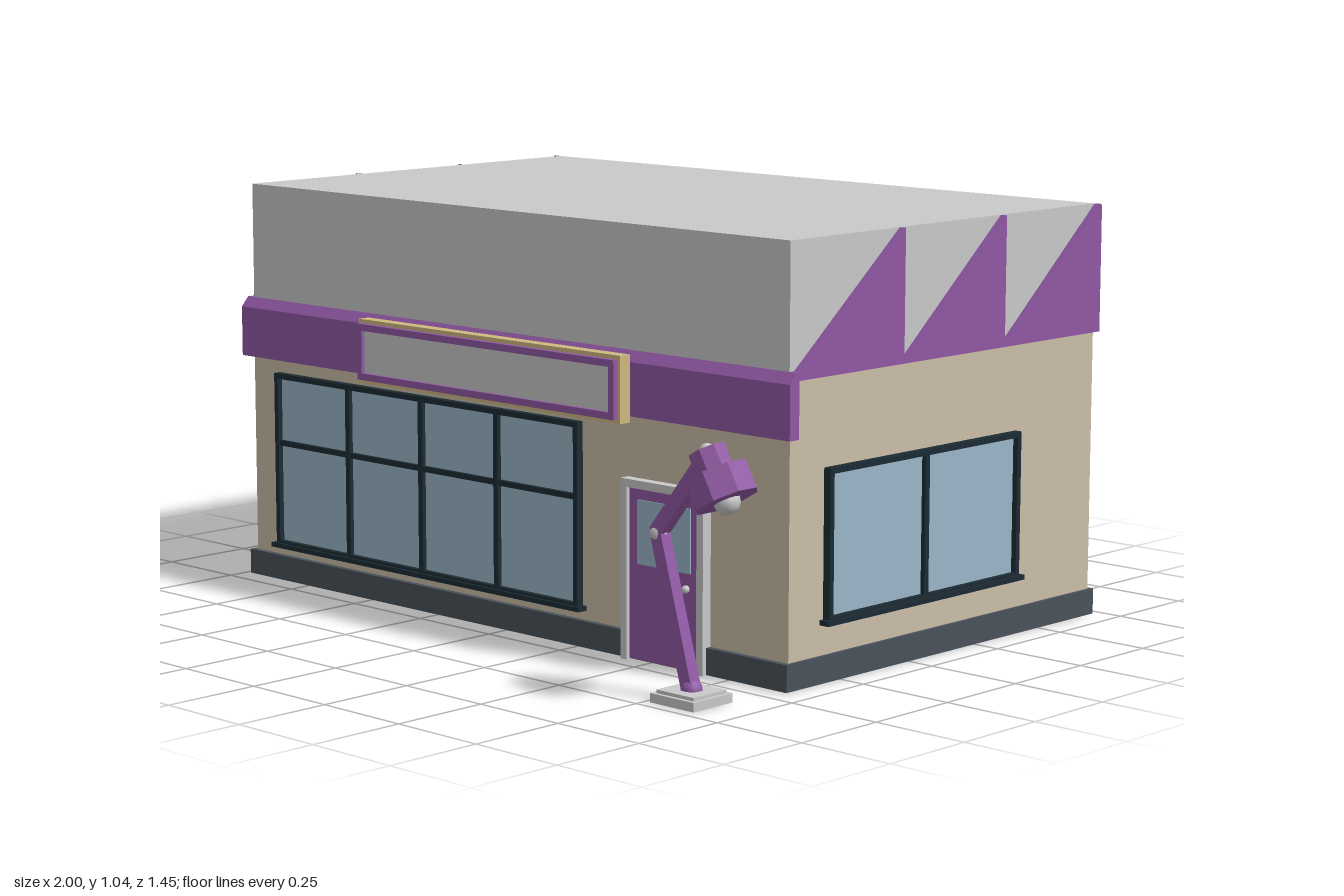
import * as THREE from 'three';

const mat = (name, color, extra = {}) => {
  const m = new THREE.MeshStandardMaterial({ color, ...extra });
  m.name = name;
  return m;
};

export function createModel() {
  const root = new THREE.Group();
  root.name = 'shop';
  const grey = mat('lightGrey', 0xc9c9c9);
  const purple = mat('purple', 0x9058a4);
  const tan = mat('tan', 0xcbbea8);
  const glass = mat('glass', 0x9bb6c9);
  const dark = mat('darkFrame', 0x1c2b33);
  const plinth = mat('slate', 0x4a525a);
  const gold = mat('gold', 0xcfb87f);

  // Box given by its minimum and maximum corners
  const box = (name, m, x0, x1, y0, y1, z0, z1, parent = root) => {
    const mesh = new THREE.Mesh(new THREE.BoxGeometry(x1 - x0, y1 - y0, z1 - z0), m);
    mesh.position.set((x0 + x1) / 2, (y0 + y1) / 2, (z0 + z1) / 2);
    mesh.name = name;
    parent.add(mesh);
    return mesh;
  };
  const group = (name) => {
    const g = new THREE.Group();
    g.name = name;
    root.add(g);
    return g;
  };
  // Rectangular frame of four bars
  const frame = (name, m, x0, x1, y0, y1, z0, z1, t, parent) => {
    box(name + 'Bottom', m, x0, x1, y0, y0 + t, z0, z1, parent);
    box(name + 'Top', m, x0, x1, y1 - t, y1, z0, z1, parent);
    box(name + 'SideA', m, x0, x0 + t, y0 + t, y1 - t, z0, z1, parent);
    box(name + 'SideB', m, x1 - t, x1, y0 + t, y1 - t, z0, z1, parent);
  };
  // Extrudes an outline of (z, y) points along x
  const alongX = (name, m, points, x0, x1) => {
    const shape = new THREE.Shape(points.map(([z, y]) => new THREE.Vector2(-z, y)));
    const geo = new THREE.ExtrudeGeometry(shape, { depth: x1 - x0, bevelEnabled: false });
    geo.rotateY(Math.PI / 2);
    geo.translate(x0, 0, 0);
    const mesh = new THREE.Mesh(geo, m);
    mesh.name = name;
    root.add(mesh);
  };

  // Building shell
  box('floor', grey, -0.975, 0.93, 0, 0.004, -0.715, 0.44);
  box('plinth', plinth, -0.98, 0.935, 0.002, 0.067, -0.72, 0.445);
  box('walls', tan, -0.967, 0.926, 0.067, 0.725, -0.708, 0.43);
  box('roofBlock', grey, -0.965, 0.924, 0.725, 1.045, -0.705, 0.43);

  // Front fascia with sloped top lip
  alongX('fascia', purple, [[0.42, 0.59], [0.452, 0.59], [0.452, 0.72], [0.43, 0.745], [0.42, 0.745]], -0.99, 0.945);

  // Sawtooth side panels
  const peaks = [0.047, -0.332, -0.707];
  for (const [x0, x1] of [[-0.988, -0.965], [0.924, 0.943]]) {
    let start = 0.44;
    for (const z of peaks) {
      alongX('sawtooth', purple, [[start, 0.725], [z, 0.725], [z, 1.045]], x0, x1);
      start = z;
    }
  }

  // Clerestory band across the back
  const back = group('clerestory');
  box('band', purple, -0.988, 0.943, 0.725, 1.043, -0.712, -0.704, back);
  box('clerestoryGlass', glass, -0.95, 0.91, 0.755, 1.0, -0.719, -0.712, back);
  for (const x of [-0.935, -0.48, -0.022, 0.435, 0.89]) {
    box('clerestoryPost', grey, x - 0.009, x + 0.009, 0.74, 1.01, -0.727, -0.711, back);
  }

  // Framed window facing +z, built on the plane z = 0
  const makeWindow = (name, x0, x1, y0, y1, posts, rail) => {
    const g = group(name);
    box('glass', glass, x0 + 0.01, x1 - 0.01, y0 + 0.01, y1 - 0.01, 0, 0.006, g);
    frame('frame', dark, x0, x1, y0, y1, 0, 0.02, 0.014, g);
    for (const x of posts) box('mullion', dark, x - 0.008, x + 0.008, y0, y1, 0, 0.017, g);
    if (rail) box('rail', dark, x0, x1, rail - 0.007, rail + 0.007, 0, 0.016, g);
    box('sill', dark, x0 - 0.012, x1 + 0.012, y0 - 0.005, y0 + 0.007, 0, 0.028, g);
    return g;
  };
  makeWindow('frontWindow', -0.865, 0.26, 0.095, 0.555, [-0.58, -0.303, -0.028], 0.37).position.z = 0.43;
  for (const s of [1, -1]) {
    const w = makeWindow(s > 0 ? 'leftWindow' : 'rightWindow', -0.355, 0.355, 0.145, 0.51, [0]);
    w.rotation.y = s * Math.PI / 2;
    w.position.set(s > 0 ? 0.926 : -0.967, 0, -0.045);
  }

  // Sign board
  const sign = group('sign');
  box('signBack', gold, -0.487, 0.44, 0.575, 0.738, 0.452, 0.485, sign);
  box('signPanel', grey, -0.47, 0.425, 0.592, 0.718, 0.485, 0.49, sign);
  frame('signFrame', purple, -0.478, 0.432, 0.585, 0.728, 0.485, 0.5, 0.017, sign);

  // Door
  const door = group('door');
  box('jambRight', grey, 0.413, 0.434, 0, 0.44, 0.43, 0.457, door);
  box('jambLeft', grey, 0.661, 0.682, 0, 0.44, 0.43, 0.457, door);
  box('lintel', grey, 0.434, 0.661, 0.42, 0.44, 0.43, 0.457, door);
  box('doorLeaf', purple, 0.434, 0.661, 0.004, 0.42, 0.43, 0.448, door);
  box('doorGlass', glass, 0.463, 0.635, 0.237, 0.393, 0.446, 0.451, door);

  const ball = (name, m, r, x, y, z, parent) => {
    const mesh = new THREE.Mesh(new THREE.SphereGeometry(r, 12, 8), m);
    mesh.position.set(x, y, z);
    mesh.name = name;
    parent.add(mesh);
  };
  ball('doorKnob', grey, 0.01, 0.625, 0.2, 0.455, door);

  // Oversized desk lamp beside the door
  const lamp = group('lamp');
  const LZ = 0.655;
  box('lampBase', grey, 0.765, 0.9, 0, 0.022, LZ - 0.065, LZ + 0.065, lamp);
  box('lampBaseTop', grey, 0.775, 0.89, 0.022, 0.03, LZ - 0.055, LZ + 0.055, lamp);
  const arm = (name, ax, ay, bx, by, w, d) => {
    const mesh = new THREE.Mesh(new THREE.BoxGeometry(w, Math.hypot(bx - ax, by - ay), d), purple);
    mesh.position.set((ax + bx) / 2, (ay + by) / 2, LZ);
    mesh.rotation.z = Math.atan2(ax - bx, by - ay);
    mesh.name = name;
    lamp.add(mesh);
  };
  arm('lowerArm', 0.833, 0.025, 0.733, 0.38, 0.034, 0.032);
  arm('upperArm', 0.728, 0.38, 0.875, 0.565, 0.034, 0.034);
  ball('elbow', grey, 0.022, 0.73, 0.38, LZ, lamp);
  ball('foot', purple, 0.026, 0.833, 0.03, LZ, lamp);

  // Octagonal stepped lamp head, tilted outwards
  const head = new THREE.Group();
  head.name = 'lampHead';
  head.position.set(0.922, 0.51, LZ);
  head.rotation.z = 0.52;
  lamp.add(head);
  const octagon = (name, m, rTop, rBottom, h, y) => {
    const geo = new THREE.CylinderGeometry(rTop, rBottom, h, 8).toNonIndexed();
    geo.computeVertexNormals();
    geo.rotateY(Math.PI / 8);
    const mesh = new THREE.Mesh(geo, m);
    mesh.position.y = y;
    mesh.name = name;
    head.add(mesh);
  };
  octagon('shade', purple, 0.078, 0.078, 0.07, 0);
  octagon('cap', purple, 0.046, 0.046, 0.06, 0.06);
  ball('capStud', grey, 0.018, 0, 0.088, 0, head);
  ball('bulb', grey, 0.032, 0, -0.035, 0, head);

  return root;
}
